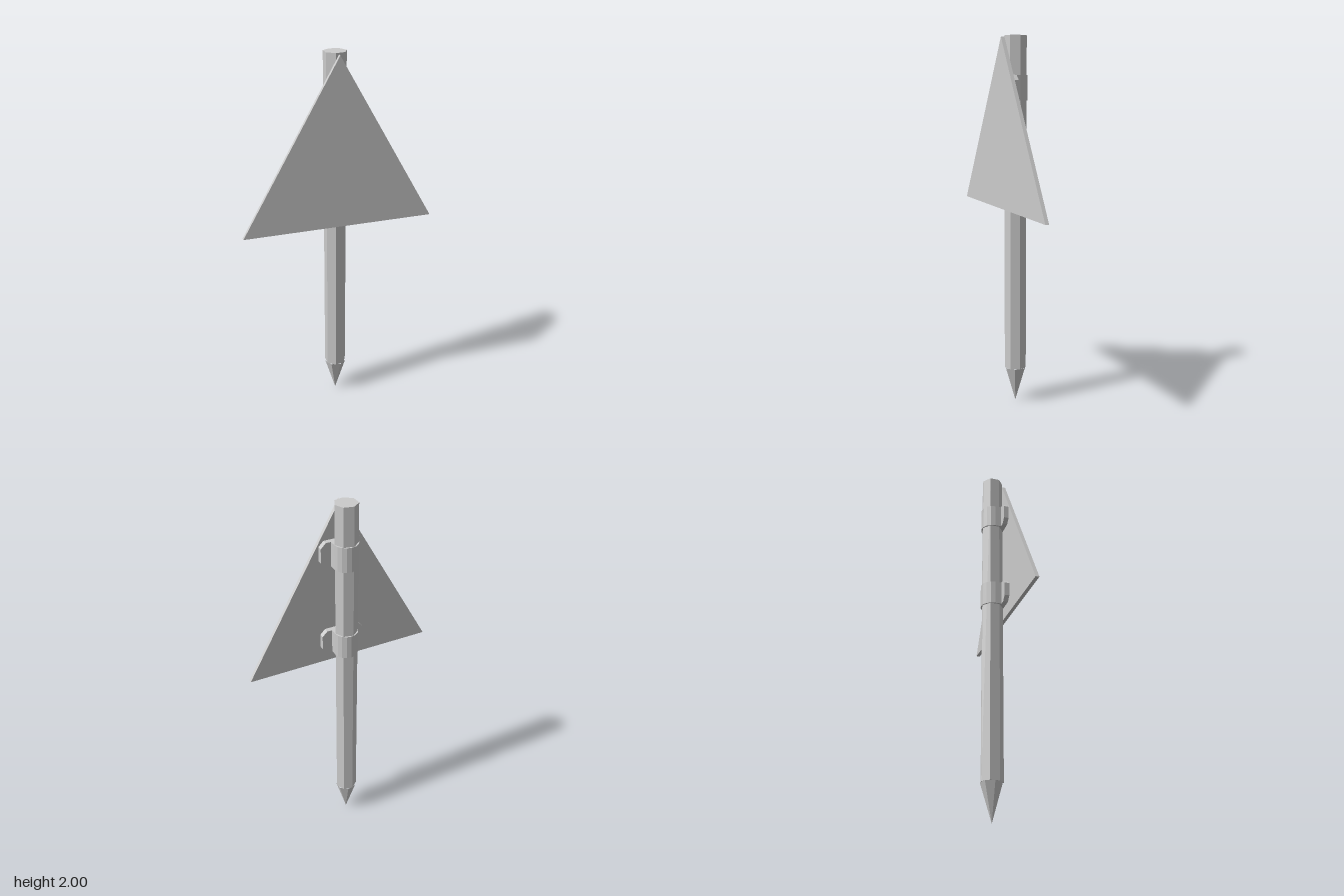
import * as THREE from 'three';

const material = new THREE.MeshStandardMaterial({ color: 0xcccccc, flatShading: true });
const POLE_Z = -0.01, POLE_R = 0.06, SIDES = 7;

function add(parent, name, geometry, x = 0, y = 0, z = 0) {
  const mesh = new THREE.Mesh(geometry, material);
  mesh.name = name;
  mesh.position.set(x, y, z);
  parent.add(mesh);
  return mesh;
}

function extrude(points, depth) {
  const shape = new THREE.Shape(points.map(([x, y]) => new THREE.Vector2(x, y)));
  return new THREE.ExtrudeGeometry(shape, { depth, bevelEnabled: false });
}

// Clamp: arched strap behind the pole and a plate with cut corners
function makeClamp(y) {
  const clamp = new THREE.Group();
  clamp.name = 'clamp';
  const height = 0.13, h = height / 2, w = 0.117, cut = 0.027, r = 0.063, plateBack = 0.025;

  const arch = [[r, plateBack]];
  for (let i = 0; i <= 8; i++) {
    const a = -Math.PI * i / 8;
    arch.push([r * Math.cos(a), POLE_Z + r * Math.sin(a)]);
  }
  arch.push([-r, plateBack]);
  const strap = extrude(arch.reverse(), height);
  strap.rotateX(Math.PI / 2);
  add(clamp, 'clampStrap', strap, 0, h, 0);

  const plate = [
    [w, -h + cut], [w, h - cut], [w - cut, h], [-w + cut, h],
    [-w, h - cut], [-w, -h + cut], [-w + cut, -h], [w - cut, -h],
  ];
  add(clamp, 'clampPlate', extrude(plate, 0.027), 0, 0, plateBack);
  clamp.position.y = y;
  return clamp;
}

export function createModel() {
  const model = new THREE.Group();
  model.name = 'signPost';

  // Seven-sided post with a pointed foot
  const post = new THREE.CylinderGeometry(POLE_R, POLE_R, 1.8, SIDES);
  post.rotateY(Math.PI / 2);
  add(model, 'post', post, 0, 1.1, POLE_Z);
  const spike = new THREE.ConeGeometry(POLE_R, 0.2, SIDES, 1, true);
  spike.rotateX(Math.PI);
  spike.rotateY(Math.PI / 2);
  add(model, 'spike', spike, 0, 0.1, POLE_Z);

  // Triangular sign plate
  add(model, 'signPlate', extrude([[-0.515, 1.1], [0.515, 1.1], [0, 1.993]], 0.02), 0, 0, 0.052);

  // Clamps holding the plate to the post
  for (const y of [1.235, 1.735]) model.add(makeClamp(y));

  return model;
}
